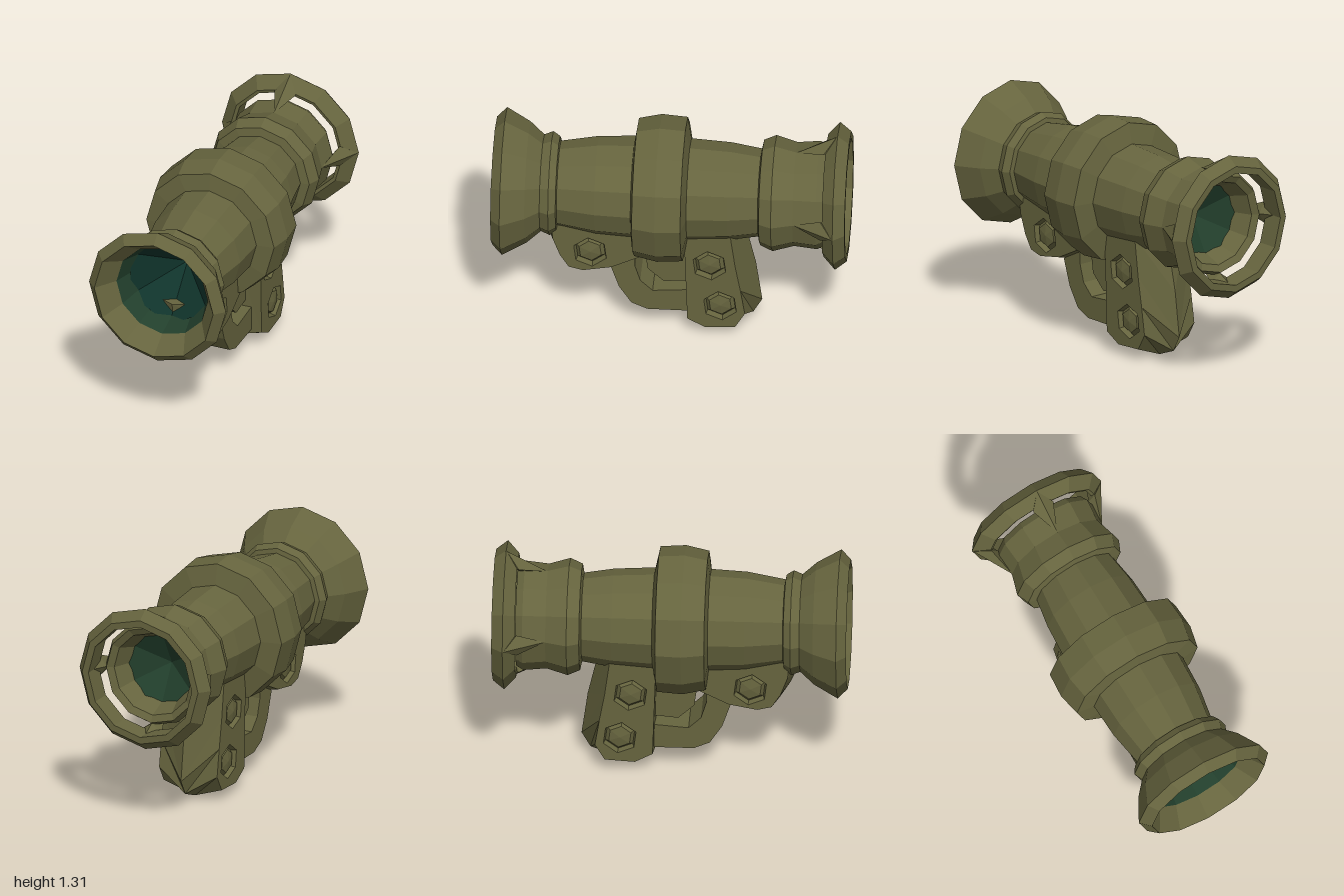
import * as THREE from 'three';
import { ConvexGeometry } from 'three/addons/geometries/ConvexGeometry.js';

const AXIS_Y = 0.895;
const olive = new THREE.MeshStandardMaterial({ color: 0x66643e });
olive.name = 'olive';
const lensGreen = new THREE.MeshStandardMaterial({ color: 0x10332b });
lensGreen.name = 'lens green';
const rimGreen = new THREE.MeshStandardMaterial({ color: 0x223f2c });
rimGreen.name = 'rim green';

// Faceted mesh: every face keeps its own normal
function flatMesh(name, geometry, material = olive) {
  const g = geometry.index ? geometry.toNonIndexed() : geometry;
  g.computeVertexNormals();
  const mesh = new THREE.Mesh(g, material);
  mesh.name = name;
  return mesh;
}

// Turned part around the long axis; profile points are [radius, z]
function turned(name, profile, material = olive, sides = 12) {
  const g = new THREE.LatheGeometry(profile.map(([r, z]) => new THREE.Vector2(r, z)), sides);
  g.rotateX(Math.PI / 2).translate(0, AXIS_Y, 0);
  return flatMesh(name, g, material);
}

// Triangles from a list of corner arrays
function fromTriangles(tris) {
  const g = new THREE.BufferGeometry();
  g.setAttribute('position', new THREE.Float32BufferAttribute(tris.flat(2), 3));
  return g;
}

// Band of faces joining two closed outlines of [x, y, z] corners
function band(a, b) {
  const tris = [];
  a.forEach((p, i) => {
    const j = (i + 1) % a.length;
    tris.push([p, b[i], b[j]], [p, b[j], a[j]]);
  });
  return tris;
}

// Fan from an outline to one point
const fan = (a, tip) => a.map((p, i) => [p, tip, a[(i + 1) % a.length]]);

const outline = (pts, x) => pts.map(([z, y]) => [x, y, z]);

const hexagon = ([z, y], r) => Array.from({ length: 6 }, (_, i) => {
  const t = i * Math.PI / 3 + 0.4;
  return [z + r * Math.cos(t), y + r * Math.sin(t)];
});

// One half (x < 0) of a ridged block with hexagonal bolt sockets.
// Outlines are [z, y] and run counter-clockwise with z to the right.
function blockHalf(side, ridge, halfWidth, bolts) {
  const x = -halfWidth;
  const tris = band(outline(side, x), outline(ridge, 0));
  const shape = new THREE.Shape(side.map(p => new THREE.Vector2(...p)));
  for (const c of bolts) {
    shape.holes.push(new THREE.Path(hexagon(c, 0.1).map(p => new THREE.Vector2(...p))));
    const mouth = outline(hexagon(c, 0.1), x);
    const floor = outline(hexagon(c, 0.09), x + 0.035);
    const head = outline(hexagon(c, 0.068), x + 0.012);
    tris.push(...band(floor, mouth));
    tris.push(...band(head, floor));
    tris.push(...fan(head, [x + 0.002, c[1], c[0]]).map(([p, q, r]) => [p, r, q]));
  }
  const cap = new THREE.ShapeGeometry(shape).toNonIndexed().getAttribute('position');
  for (let i = 0; i < cap.count; i += 3) {
    tris.push([0, 1, 2].map(k => [x, cap.getY(i + k), cap.getX(i + k)]));
  }
  return orient(tris, x);
}

// Caps, sockets and bolt heads face -x; ridge faces point away from the block
function orient(tris, x) {
  return tris.map(t => {
    const [a, b, c] = t.map(p => new THREE.Vector3(...p));
    const n = b.clone().sub(a).cross(c.clone().sub(a));
    const onRidge = t.some(p => p[0] === 0);
    return !onRidge && n.x > 0 ? [t[0], t[2], t[1]] : t;
  });
}

function ridgedBlock(name, side, ridge, halfWidth, bolts) {
  const half = blockHalf(side, ridge, halfWidth, bolts);
  const mirrored = half.map(([a, b, c]) => [a, c, b].map(([x, y, z]) => [-x, y, z]));
  return flatMesh(name, fromTriangles([...half, ...mirrored]));
}

// Plain slab of a [z, y] outline, centred on x
function slab(name, pts, width) {
  const g = new THREE.ExtrudeGeometry(
    new THREE.Shape(pts.map(p => new THREE.Vector2(...p))), { depth: width, bevelEnabled: false });
  g.translate(0, 0, -width / 2).rotateY(-Math.PI / 2);
  return flatMesh(name, g);
}

export function createModel() {
  const model = new THREE.Group();
  model.name = 'scope';

  // Main tube from the eyecup, over the centre collar, to the flared front
  model.add(turned('tube', [
    [0.2, -0.74], [0.245, -0.85], [0.285, -0.87], [0.308, -0.83], [0.295, -0.7],
    [0.33, -0.58], [0.3, -0.51], [0.25, -0.5], [0.277, -0.33], [0.29, -0.1],
    [0.41, -0.075], [0.42, 0.07], [0.392, 0.2], [0.29, 0.215], [0.28, 0.42],
    [0.243, 0.635], [0.27, 0.64], [0.295, 0.68], [0.275, 0.73], [0.345, 0.81],
    [0.42, 0.945], [0.365, 1], [0.28, 0.88],
  ]));

  // Lenses
  model.add(turned('frontLensRim', [[0.28, 0.88], [0.235, 0.74]], rimGreen));
  model.add(turned('frontLens', [[0.275, 0.78], [0, 0.52]], lensGreen, 6));
  model.add(turned('rearLens', [[0, -0.62], [0.235, -0.75]], rimGreen, 6));

  // Rear guard ring on four pointed struts
  model.add(turned('rearRing', [
    [0.33, -1], [0.37, -1], [0.42, -0.935], [0.35, -0.87], [0.33, -0.875], [0.33, -1],
  ]));
  for (let i = 0; i < 4; i++) {
    const strut = flatMesh('ringStrut', new ConvexGeometry([
      [0, 0.29, -0.7], [-0.065, 0.335, -0.86], [0.065, 0.335, -0.86],
      [0, 0.415, -0.93], [0, 0.29, -0.86], [0, 0.34, -0.95],
    ].map(p => new THREE.Vector3(...p))));
    strut.rotation.z = i * Math.PI / 2;
    strut.position.y = AXIS_Y;
    model.add(strut);
  }

  // Front mount under the tube
  model.add(ridgedBlock('frontMount',
    [[0.15, 0.73], [0.15, 0.54], [0.33, 0.45], [0.49, 0.42], [0.57, 0.44], [0.62, 0.52], [0.66, 0.63], [0.67, 0.73]],
    [[0.15, 0.73], [0.15, 0.51], [0.33, 0.41], [0.5, 0.385], [0.61, 0.41], [0.67, 0.51], [0.72, 0.63], [0.74, 0.73]],
    0.172, [[0.45, 0.55]]));

  // Hand grip
  model.add(ridgedBlock('grip',
    [[-0.34, 0.73], [-0.37, 0.5], [-0.4, 0.33], [-0.425, 0.17], [-0.37, 0.075], [-0.2, 0.065], [-0.1, 0.12], [-0.08, 0.73]],
    [[-0.4, 0.73], [-0.44, 0.53], [-0.475, 0.4], [-0.51, 0.14], [-0.46, 0.05], [-0.34, 0.003], [-0.2, 0.012], [-0.09, 0.07], [-0.075, 0.73]]
      .filter((_, i) => i !== 1),
    0.185, [[-0.225, 0.5], [-0.285, 0.22]]));

  // Trigger guard and trigger block
  model.add(slab('triggerGuard', [
    [0.34, 0.43], [0.29, 0.28], [0.22, 0.17], [0.13, 0.13], [-0.12, 0.13],
    [-0.12, 0.28], [0.1, 0.262], [0.17, 0.33], [0.2, 0.43], [0.2, 0.5], [0.3, 0.5],
  ], 0.25));
  model.add(slab('triggerBlock', [
    [0.16, 0.6], [0.13, 0.39], [0.04, 0.305], [-0.12, 0.32], [-0.12, 0.6],
  ], 0.18));

  return model;
}
